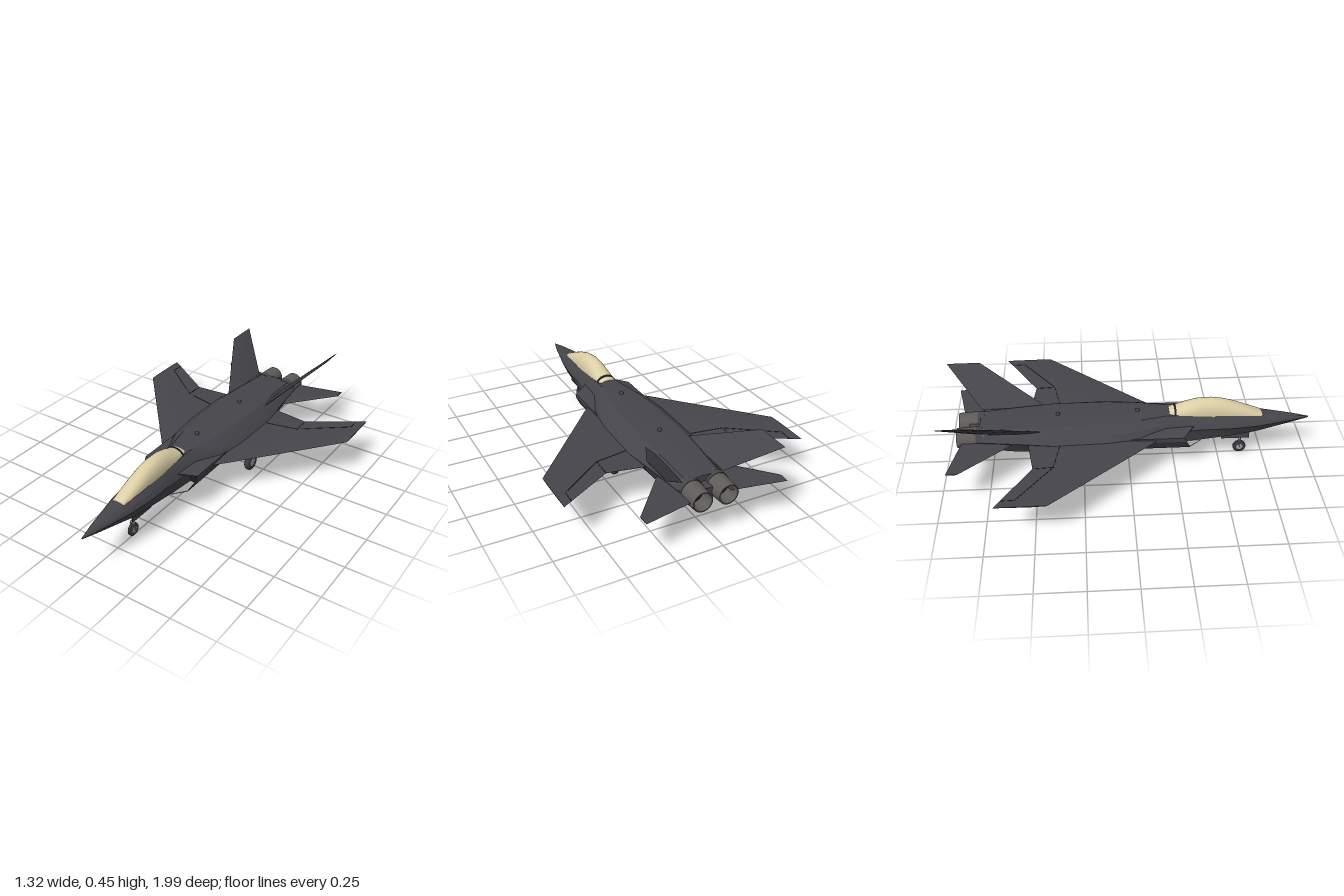
import * as THREE from 'three';
import { toCreasedNormals } from 'three/addons/utils/BufferGeometryUtils.js';

const paint = (name, color, side = THREE.FrontSide) => {
  const m = new THREE.MeshStandardMaterial({ color, side });
  m.name = name;
  return m;
};

export function createModel() {
  const model = new THREE.Group();
  model.name = 'jetAircraft';
  const skin = paint('darkGreySkin', 0x46454b);
  const seam = paint('panelSeam', 0x232327);
  const glass = paint('goldCanopy', 0xdccfa6);
  const lining = paint('intakeGrey', 0xa6a6a6, THREE.DoubleSide);
  const metal = paint('gearMetal', 0xa9a9ab);
  const rubber = paint('tyreRubber', 0x3d3d42);
  const nozzleMetal = paint('nozzleMetal', 0x5e5b58, THREE.DoubleSide);
  const sooty = paint('darkInterior', 0x1d1d20, THREE.DoubleSide);

  const add = (name, geo, mat, parent = model) => {
    const mesh = new THREE.Mesh(geo, mat);
    mesh.name = name;
    parent.add(mesh);
    return mesh;
  };

  // Skin joining closed rings of [x, y, z] points; faces are turned outward
  const loft = (rings, { start = true, end = true, crease = 0.5 } = {}) => {
    const v = rings.map(r => r.map(p => new THREE.Vector3(...p)));
    const n = v[0].length, tris = [];
    const mean = a => a.reduce((s, p) => s.add(p), new THREE.Vector3()).divideScalar(a.length);
    for (let i = 0; i + 1 < v.length; i++)
      for (let j = 0; j < n; j++) {
        const k = (j + 1) % n;
        tris.push([v[i][j], v[i][k], v[i + 1][k]], [v[i][j], v[i + 1][k], v[i + 1][j]]);
      }
    const cap = (ring, flip) => {
      const c = mean(ring);
      ring.forEach((p, j) => {
        const q = ring[(j + 1) % n];
        tris.push(flip ? [c, q, p] : [c, p, q]);
      });
    };
    if (start) cap(v[0], true);
    if (end) cap(v[v.length - 1], false);
    const mid = mean(v.flat());
    const volume = tris.reduce((s, [a, b, c]) =>
      s + a.clone().sub(mid).dot(b.clone().sub(mid).cross(c.clone().sub(mid))), 0);
    if (volume < 0) tris.forEach(t => t.reverse());
    const geo = new THREE.BufferGeometry().setFromPoints(tris.flat());
    geo.computeVertexNormals();
    return toCreasedNormals(geo, crease);
  };

  // Round bar between two points
  const bar = (name, a, b, r, parent) => {
    const A = new THREE.Vector3(...a), B = new THREE.Vector3(...b), d = B.clone().sub(A);
    const mesh = add(name, new THREE.CylinderGeometry(r, r, d.length(), 10), metal, parent);
    mesh.position.copy(A).lerp(B, 0.5);
    mesh.quaternion.setFromUnitVectors(new THREE.Vector3(0, 1, 0), d.normalize());
  };

  // Tyre with a metal hub
  const wheel = (name, x, y, z, r, w, parent) => {
    const g = new THREE.Group();
    g.name = name;
    g.position.set(x, y, z);
    g.rotation.z = Math.PI / 2;
    parent.add(g);
    const half = [[r * .5, w / 2], [r * .88, w / 2], [r, w * .3]];
    const tread = [...half.map(([a, b]) => [a, -b]), ...half.reverse()].map(p => new THREE.Vector2(...p));
    add('tyre', toCreasedNormals(new THREE.LatheGeometry(tread, 24), .8), rubber, g);
    add('hub', new THREE.CylinderGeometry(r * .52, r * .52, w * .9, 20), metal, g);
  };

  // Chined fuselage: z, top, shoulder width, chine width, belly width, keel
  const chine = .224;
  const hull = ([z, top, shoulder, wide, belly, keel]) => {
    const rise = top - chine;
    const half = [[shoulder, top - rise * .1], [wide * .85, chine + rise * .47], [wide, chine], [belly, keel + .005]];
    return [[0, top], ...half, [0, keel], ...half.reverse().map(([x, y]) => [-x, y])].map(([x, y]) => [x, y, z]);
  };
  const stations = [
    [.995, .228, .001, .003, .002, .22],
    [.9, .247, .013, .029, .018, .201],
    [.7, .275, .038, .073, .05, .169],
    [.55, .288, .05, .088, .062, .153],
    [.4, .297, .054, .09, .075, .145],
    [.2, .309, .055, .102, .09, .138],
    [.05, .307, .085, .165, .12, .136],
    [-.12, .304, .105, .187, .128, .135],
    [-.4, .298, .112, .187, .128, .135],
    [-.6, .288, .1, .158, .122, .143],
    [-.8, .272, .09, .134, .11, .16],
  ];
  add('fuselage', loft(stations.map(hull), { crease: 0.4 }), skin);

  // Canopy arches: z, half width, crown
  const arch = ([z, w, top]) => Array.from({ length: 17 }, (_, i) => {
    const a = Math.PI * i / 16, base = .262 + Math.min(.018, (.73 - z) * .07);
    return [w * Math.cos(a), base + (top - base) * Math.sin(a) ** 0.85, z];
  });
  const canopy = [
    [.73, .036, .274], [.67, .043, .302], [.6, .049, .332], [.52, .053, .359],
    [.45, .055, .37], [.38, .055, .368], [.31, .055, .348], [.22, .053, .311],
  ];
  add('canopy', loft(canopy.map(arch), { crease: 0.9 }), glass);
  add('canopyFrame', loft([[.257, .0555, .3295], [.247, .0555, .326]].map(arch)), seam);

  // Thin aerofoil surface: sections of [x, y, leading z, trailing z, half thickness]
  const chord = [[0, 0], [.25, 1], [.75, .6], [1, .06], [1, -.06], [.75, -.6], [.25, -1]];
  const foil = (sections, nx, ny) => loft(sections.map(([x, y, le, te, h]) =>
    chord.map(([f, k]) => [x + nx * h * k, y + ny * h * k, le + (te - le) * f])), { crease: 0.2 });
  const wing = [[.13, .216, .185, -.545, .013], [.365, .223, -.088, -.51, .009], [.66, .233, -.43, -.69, .003]];
  const tailplane = [[.1, .212, -.57, -.89, .009], [.38, .216, -.89, -.95, .003]];
  const fin = [[.113, .265, -.44, -.8, .008], [.309, .445, -.81, -.992, .003]];

  // Point on the wing skin: panel, span fraction, hinge or trailing edge, upper or lower
  const onWing = (panel, t, [f, k], up) => {
    const [x, y, le, te, h] = wing[panel].map((a, i) => a + (wing[panel + 1][i] - a) * t);
    return [x, y + h * k * up, le + (te - le) * f];
  };
  const hinge = chord[2], trailing = chord[3];

  // Raked intake lip, from inner top round to inner bottom
  const lip = [[.078, .249, .35], [.166, .232, .29], [.164, .205, .305], [.129, .142, .325], [.07, .14, .395]];
  const atZ = (ring, z) => ring.map(([x, y]) => [x, y, z]);
  const inset = ring => {
    const [cx, cy] = [0, 1].map(i => ring.reduce((t, p) => t + p[i], 0) / ring.length);
    return ring.map(([x, y, z]) => [cx + (x - cx) * .92, cy + (y - cy) * .92, z]);
  };

  for (const s of [1, -1]) {
    const side = new THREE.Group();
    side.name = s > 0 ? 'leftSide' : 'rightSide';
    model.add(side);
    const flip = a => a.map(([x, ...rest]) => [x * s, ...rest]);

    // Main wing, tailplane and canted fin
    add('wing', foil(flip(wing), 0, 1), skin, side);
    add('tailplane', foil(flip(tailplane), 0, 1), skin, side);
    add('fin', foil(flip(fin), -.68 * s, .74), skin, side);

    // Flap and aileron seams on both skins
    for (const up of [1, -1]) {
      const root = onWing(0, .25, hinge, up), kink = onWing(1, 0, hinge, up), outer = onWing(1, .83, hinge, up);
      const lines = [
        [root, kink], [kink, outer], [kink, onWing(1, 0, trailing, up)], [outer, onWing(1, .83, trailing, up)],
      ];
      for (const line of lines) {
        const [A, B] = flip(line).map(p => new THREE.Vector3(...p));
        const strip = add('flapSeam', new THREE.BoxGeometry(.004, .003, A.distanceTo(B)), seam, side);
        strip.position.copy(A).lerp(B, 0.5);
        strip.lookAt(B);
      }
    }

    // Intake cowl with a pale duct
    const front = flip(lip);
    add('intakeCowl', loft([atZ(front, 0), front, inset(front)], { end: false, crease: .3 }), skin, side);
    add('intakeDuct', loft([inset(front), inset(atZ(front, .24))], { start: false, end: false }), lining, side);
    add('intakeDepth', loft([inset(atZ(front, .242)), inset(atZ(front, .236))]), sooty, side);

    // Engine nozzle: radius against distance aft
    const profile = [[.054, .74], [.059, .8], [.058, .83], [.053, .92], [.048, .92], [.04, .8]]
      .map(p => new THREE.Vector2(...p));
    const nozzle = add('nozzle', toCreasedNormals(new THREE.LatheGeometry(profile, 28), .5), nozzleMetal, side);
    nozzle.rotation.x = -Math.PI / 2;
    nozzle.position.set(.07 * s, .214, 0);
    const collar = add('nozzleCollar', new THREE.CylinderGeometry(.0605, .0605, .035, 28), skin, side);
    collar.rotation.x = Math.PI / 2;
    collar.position.set(.07 * s, .214, -.8);
    const core = add('nozzleCore', new THREE.CircleGeometry(.043, 24), sooty, side);
    core.position.set(.07 * s, .214, -.845);

    // Main gear leg, brace, wheel and door
    bar('mainLeg', [.135 * s, .19, -.2], [.168 * s, .085, -.215], .009, side);
    bar('mainAxle', [.16 * s, .09, -.215], [.187 * s, .055, -.215], .008, side);
    bar('mainBrace', [.125 * s, .15, -.28], [.16 * s, .1, -.215], .005, side);
    wheel('mainWheel', .185 * s, .05, -.215, .05, .03, side);
    const door = add('mainGearDoor', new THREE.BoxGeometry(.006, .09, .24), skin, side);
    door.position.set(.181 * s, .177, -.2);
    door.rotation.z = .3 * s;

    // Nose gear door, fork and belly aerial
    add('noseGearDoor', new THREE.BoxGeometry(.004, .045, .155), skin, side).position.set(.033 * s, .142, .59);
    bar('noseFork', [.014 * s, .082, .625], [.014 * s, .038, .625], .003, side);
    add('bellyAerial', new THREE.SphereGeometry(.012, 12, 8), skin, side).position.set(.035 * s, .139, .3);
  }

  // Nose gear
  bar('noseLeg', [0, .165, .615], [0, .075, .625], .008);
  bar('noseBrace', [0, .15, .57], [0, .1, .62], .004);
  bar('noseForkBridge', [-.014, .082, .625], [.014, .082, .625], .006);
  wheel('noseWheel', 0, .037, .625, .036, .02, model);

  // Tail fairing between the engines
  add('tailFairing', new THREE.BoxGeometry(.035, .05, .1), skin).position.set(0, .214, -.81);

  // Small aerials along the spine
  for (const [y, z] of [[.308, .05], [.299, -.38]])
    add('spineAerial', new THREE.SphereGeometry(.012, 12, 8), skin).position.set(0, y, z);

  return model;
}
